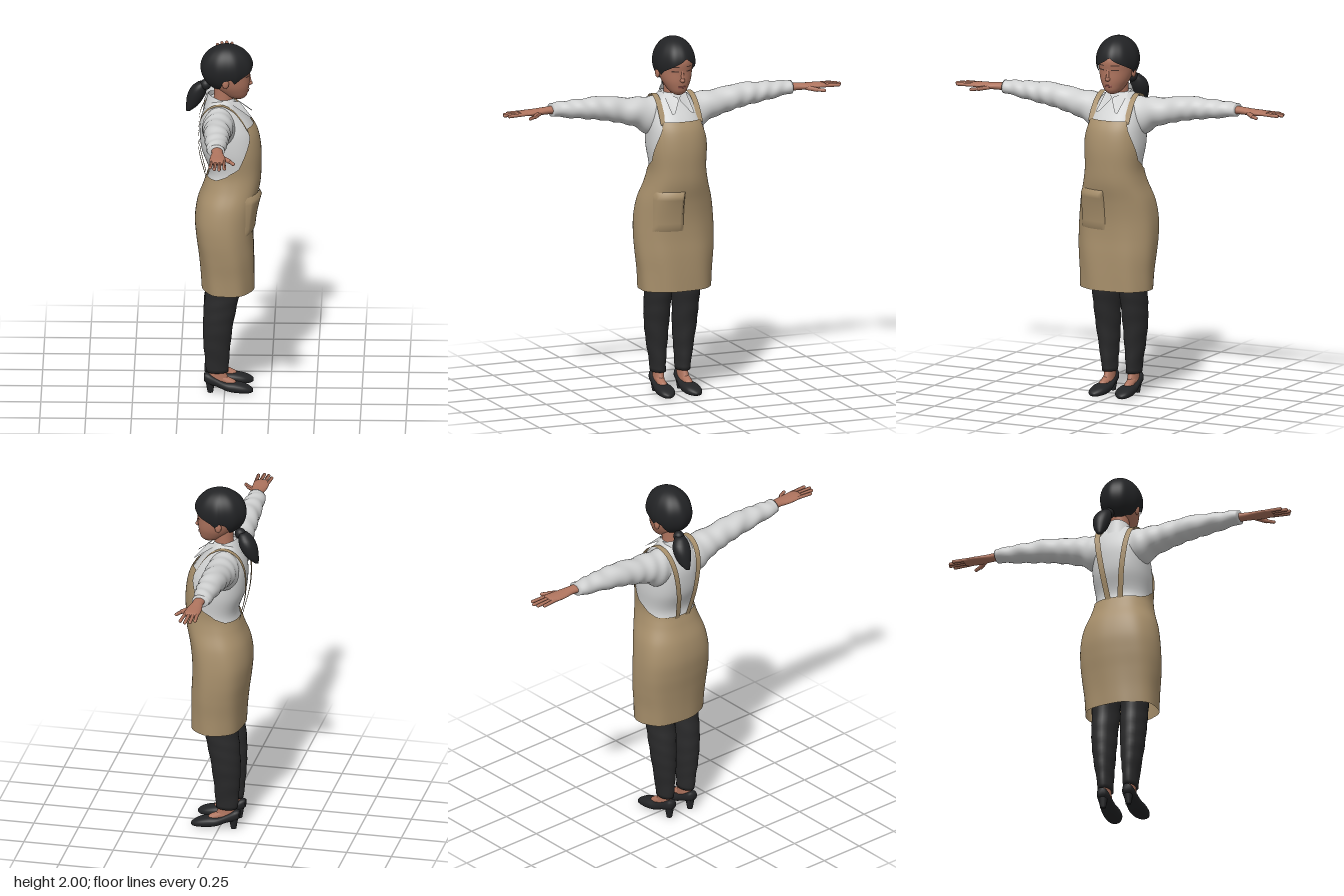
import * as THREE from 'three';

const mat = (name, color, side = THREE.FrontSide) => {
  const m = new THREE.MeshStandardMaterial({ color, side });
  m.name = name;
  return m;
};

// Smooth interpolation of a table whose first column is the parameter
function sample(rows, t) {
  let i = 0;
  while (i < rows.length - 2 && t > rows[i + 1][0]) i++;
  const a = rows[i], b = rows[i + 1], h = b[0] - a[0];
  const p = rows[i - 1] || a, n = rows[i + 2] || b;
  const s = Math.min(1, Math.max(0, (t - a[0]) / h)), s2 = s * s, s3 = s2 * s;
  return a.map((_, k) => {
    const ma = (b[k] - p[k]) / (b[0] - p[0]) * h, mb = (n[k] - a[k]) / (n[0] - a[0]) * h;
    return (2 * s3 - 3 * s2 + 1) * a[k] + (s3 - 2 * s2 + s) * ma + (3 * s2 - 2 * s3) * b[k] + (s3 - s2) * mb;
  });
}
function lerpTable(knots, t) {
  let i = 0;
  while (i < knots.length - 2 && t > knots[i + 1][0]) i++;
  const [a, b] = [knots[i], knots[i + 1]];
  return THREE.MathUtils.lerp(a[1], b[1], Math.min(1, Math.max(0, (t - a[0]) / (b[0] - a[0]))));
}

// Grid surface; fn(u, v) returns [x, y, z]; closed wraps around in u
function sheet(nu, nv, fn, closed) {
  const pos = [], idx = [], cols = closed ? nu : nu + 1;
  for (let j = 0; j <= nv; j++) for (let i = 0; i < cols; i++) pos.push(...fn(i / nu, j / nv, j));
  for (let j = 0; j < nv; j++) for (let i = 0; i < nu; i++) {
    const i2 = (i + 1) % cols, a = j * cols + i, b = j * cols + i2;
    idx.push(a, b, b + cols, a, b + cols, a + cols);
  }
  const g = new THREE.BufferGeometry();
  g.setAttribute('position', new THREE.Float32BufferAttribute(pos, 3));
  g.setIndex(idx);
  g.computeVertexNormals();
  return g;
}

const spow = (v, p) => Math.sign(v) * Math.pow(Math.abs(v), p);
// Ring point of a section row [t, cosMin, cosMax, sinMin, sinMax]; axis y maps cos to z and sin to x
function ring(rows, t, a, axis = 'y', p = 1, off = 0) {
  const [, c0, c1, s0, s1] = sample(rows, t);
  const c = (c0 + c1) / 2 + ((c1 - c0) / 2 + off) * spow(Math.cos(a), p);
  const s = (s0 + s1) / 2 + ((s1 - s0) / 2 + off) * spow(Math.sin(a), p);
  return axis === 'y' ? [s, t, c] : axis === 'x' ? [t, c, s] : [c, s, t];
}
// Capped loft through section rows
function loft(rows, { axis = 'y', p = 1, nu = 28, nv = 24, off = 0, ripple = 0 } = {}) {
  const t0 = rows[0][0], t1 = rows[rows.length - 1][0];
  return sheet(nu, nv + 2, (u, v, j) => {
    const t = t0 + (t1 - t0) * Math.min(1, Math.max(0, (j - 1) / nv)), a = u * Math.PI * 2;
    if (j === 0 || j === nv + 2) {
      const A = ring(rows, t, 0, axis, p), B = ring(rows, t, Math.PI, axis, p);
      return A.map((q, k) => (q + B[k]) / 2);
    }
    return ring(rows, t, a, axis, p, off + ripple * Math.sin(t * 62 + 2.2 * Math.sin(a + t * 9)));
  }, true);
}
// Patch lying on the front of a lofted shape, edges sunk by the relief
function patch(rows, p, x0, x1, y0, y1, off, relief = 0, lift = 0) {
  return sheet(14, 10, (u, v) => {
    const edge = u === 0 || u === 1 || v === 0 || v === 1;
    const x = x0 + (x1 - x0) * u, y = y0 + (y1 - y0) * v, [, z0, z1, , r] = sample(rows, y);
    const s = Math.pow(Math.min(1, Math.abs(x) / r), 1 / p), c = Math.pow(Math.sqrt(1 - s * s), p);
    return [x, y, (z0 + z1) / 2 + (z1 - z0) / 2 * c + off + (edge ? 0 : relief + lift * v)];
  });
}
// Rounded rod between two points
function rod(a, b, r) {
  const A = new THREE.Vector3(...a), B = new THREE.Vector3(...b), d = B.clone().sub(A);
  const g = new THREE.CapsuleGeometry(r, d.length(), 5, 10);
  g.applyQuaternion(new THREE.Quaternion().setFromUnitVectors(new THREE.Vector3(0, 1, 0), d.normalize()));
  return g.translate(...A.add(B).multiplyScalar(0.5).toArray());
}
const ball = (x, y, z, rx, ry, rz) => new THREE.SphereGeometry(1, 18, 12).scale(rx, ry, rz).translate(x, y, z);
function mirrored(g) {
  const m = g.clone().scale(-1, 1, 1), ix = m.index.array;
  for (let i = 0; i < ix.length; i += 3) [ix[i], ix[i + 1]] = [ix[i + 1], ix[i]];
  m.computeVertexNormals();
  return m;
}

const TORSO = [
  [0.6, -0.118, 0.157, -0.198, 0.198], [0.7, -0.125, 0.157, -0.203, 0.203], [0.8, -0.136, 0.155, -0.213, 0.213],
  [0.9, -0.15, 0.15, -0.218, 0.218], [1.0, -0.157, 0.152, -0.214, 0.214], [1.1, -0.143, 0.165, -0.198, 0.198],
  [1.2, -0.108, 0.187, -0.166, 0.166], [1.28, -0.09, 0.193, -0.152, 0.152], [1.4, -0.13, 0.193, -0.161, 0.161],
  [1.5, -0.141, 0.175, -0.158, 0.158], [1.56, -0.137, 0.142, -0.148, 0.148], [1.62, -0.118, 0.092, -0.13, 0.13],
  [1.66, -0.098, 0.06, -0.1, 0.1], [1.69, -0.085, 0.045, -0.066, 0.066]];
const HEAD = [
  [1.69, 0.05, 0.1, -0.022, 0.022], [1.705, 0.01, 0.118, -0.043, 0.043], [1.735, -0.03, 0.128, -0.063, 0.063],
  [1.77, -0.06, 0.134, -0.079, 0.079], [1.82, -0.09, 0.136, -0.09, 0.09], [1.88, -0.1, 0.142, -0.093, 0.093],
  [1.93, -0.08, 0.118, -0.075, 0.075], [1.96, -0.03, 0.07, -0.04, 0.04]];

export function createModel() {
  const DS = THREE.DoubleSide;
  const skin = mat('skin', 0xb0755f), hair = mat('hair', 0x222325, DS), shirt = mat('shirt', 0xd0d1d1, DS);
  const tan = mat('apron tan', 0xa78f6b, DS), pants = mat('trouser black', 0x2a2a2b), black = mat('shoe black', 0x242527);
  const lip = mat('lips', 0x9a5850), dark = mat('eye brown', 0x4a332c);

  const root = new THREE.Group(), person = new THREE.Group();
  root.name = 'womanInApron';
  person.name = 'person';
  person.rotation.y = Math.PI / 2; // she looks along +x
  root.add(person);
  const add = (name, g, m) => {
    const mesh = new THREE.Mesh(g, m);
    mesh.name = name;
    person.add(mesh);
  };
  const pair = (name, g, m) => {
    add(name + 'Left', g, m);
    add(name + 'Right', mirrored(g), m);
  };

  // Shirt body and sleeves
  add('shirtBody', loft(TORSO.slice(6), { p: 0.85, nu: 48, off: -0.003 }), shirt);
  pair('sleeve', loft([
    [0.07, 1.46, 1.662, -0.115, 0.05], [0.15, 1.46, 1.664, -0.12, 0.058], [0.22, 1.505, 1.666, -0.115, 0.05],
    [0.3, 1.53, 1.673, -0.108, 0.04], [0.4, 1.555, 1.688, -0.105, 0.034], [0.55, 1.58, 1.685, -0.096, 0.027],
    [0.71, 1.605, 1.678, -0.083, 0.01]], { axis: 'x', nv: 60, ripple: 0.0028 }), shirt);

  // Collar: band around the neck, and two pointed flaps
  add('collarBand', sheet(40, 6, (u, v) => {
    const a = u * Math.PI * 2, top = 1.695 - 0.025 * Math.cos(a), r = 0.085 - 0.022 * v;
    return [r * Math.sin(a), 1.635 + (top - 1.635) * v, -0.02 + (r + 0.008) * Math.cos(a)];
  }, true), shirt);
  pair('collarFlap', sheet(6, 6, (u, v) => {
    const x = 0.004 + u * 0.062, low = 1.655 - 0.06 * Math.min(1, u * 1.4);
    const y = low + (1.668 + 0.024 * u - low) * v;
    return [x, y, 0.062 + (1.67 - y) * 0.95 - 0.045 * u * v + 0.014];
  }), shirt);

  // Apron with a bib that falls away to a low back edge
  const edge = [[0, 1.55], [0.72, 1.55], [0.8, 1.5], [1.15, 1.4], [1.4, 1.33], [1.8, 1.28], [2.2, 1.255], [Math.PI, 1.25]];
  add('apron', sheet(112, 48, (u, v) => {
    const a = u * Math.PI * 2, top = lerpTable(edge, Math.min(a, Math.PI * 2 - a));
    const y = 0.6 + (top - 0.6) * v;
    return ring(TORSO, y, a, 'y', 0.85, 0.006 + 0.0025 * Math.sin(a * 7 + y * 6) * (1 - v));
  }, true), tan);
  add('apronPocket', patch(TORSO, 0.85, -0.168, -0.005, 0.94, 1.165, 0.008, 0.008, 0.014), tan);

  // Shoulder straps running to the middle of the back
  const path = new THREE.CatmullRomCurve3([
    [0.108, 1.535, 0.128], [0.108, 1.6, 0.088], [0.106, 1.65, 0.045], [0.103, 1.68, -0.02], [0.096, 1.655, -0.09],
    [0.085, 1.58, -0.135], [0.06, 1.42, -0.142], [0.035, 1.24, -0.103]].map(p => new THREE.Vector3(...p)));
  pair('strap', sheet(2, 40, (u, v) => {
    const p = path.getPoint(1 - v);
    return [p.x + (u - 0.5) * 0.032, p.y, p.z];
  }), tan);

  // Hands
  pair('palm', loft([
    [0.69, 1.62, 1.665, -0.06, 0.002], [0.75, 1.622, 1.662, -0.056, 0.006], [0.8, 1.622, 1.658, -0.064, 0.016],
    [0.86, 1.625, 1.656, -0.066, 0.022], [0.9, 1.63, 1.652, -0.062, 0.02]], { axis: 'x', nv: 12 }), skin);
  [[-0.054, -0.06, 0.955], [-0.033, -0.037, 0.982], [-0.01, -0.011, 0.991], [0.012, 0.018, 0.975]].forEach(([z0, z1, x], i) =>
    pair('finger' + (i + 1), rod([0.87, 1.641, z0], [x, 1.639, z1], 0.0095), skin));
  pair('thumb', rod([0.79, 1.636, 0], [0.835, 1.63, 0.042], 0.0125), skin);
  pair('thumbTip', rod([0.835, 1.63, 0.042], [0.87, 1.627, 0.064], 0.0095), skin);

  // Neck, head and face
  add('neck', loft([[1.61, -0.075, 0.045, -0.055, 0.055], [1.68, -0.06, 0.045, -0.05, 0.05],
    [1.78, -0.06, 0.05, -0.052, 0.052]], { nv: 8 }), skin);
  add('head', loft(HEAD, { p: 0.95, nu: 36, nv: 32 }), skin);
  add('nose', ball(0, 1.778, 0.134, 0.014, 0.013, 0.018), skin);
  add('noseBridge', rod([0, 1.785, 0.138], [0, 1.83, 0.13], 0.008), skin);
  pair('ear', ball(0.094, 1.805, 0.005, 0.012, 0.03, 0.019), skin);
  pair('eye', patch(HEAD, 0.95, 0.022, 0.058, 1.825, 1.832, 0.002), dark);
  pair('eyebrow', patch(HEAD, 0.95, 0.02, 0.062, 1.852, 1.857, 0.002), dark);
  add('lips', patch(HEAD, 0.95, -0.022, 0.022, 1.732, 1.744, 0.001, 0.003), lip);

  // Hair cap with side-swept fringe, and a low ponytail
  const line = [[0, 1.9], [0.25, 1.878], [0.7, 1.853], [1.15, 1.825], [1.4, 1.795], [1.5, 1.83], [1.75, 1.82], [2.1, 1.765], [Math.PI, 1.745]];
  add('hairCap', sheet(72, 24, (u, v) => {
    const a = u * Math.PI * 2, d = Math.abs(Math.atan2(Math.sin(a - 0.15), Math.cos(a - 0.15)));
    const phi = Math.acos((lerpTable(line, d) - 1.867) / 0.133) * (1 - v), s = Math.sin(phi);
    const w = 1 + 0.012 * Math.sin(a * 9) * s;
    return [0.113 * s * w * Math.sin(a), 1.867 + 0.133 * Math.cos(phi), 0.011 + 0.144 * s * w * Math.cos(a)];
  }, true), hair);
  add('hairTie', ball(0.03, 1.755, -0.105, 0.03, 0.03, 0.03), hair);
  add('ponytail', loft([
    [1.595, -0.212, -0.19, 0.035, 0.06], [1.63, -0.213, -0.145, 0.018, 0.085], [1.69, -0.205, -0.108, 0.002, 0.1],
    [1.735, -0.182, -0.1, 0.002, 0.09], [1.765, -0.15, -0.1, 0.015, 0.06]], { nv: 16 }), hair);

  // Trouser legs
  pair('trouserLeg', loft([
    [0.12, -0.1, 0.02, 0.034, 0.112], [0.2, -0.108, 0.025, 0.03, 0.122], [0.3, -0.116, 0.034, 0.022, 0.138],
    [0.4, -0.118, 0.047, 0.016, 0.15], [0.5, -0.114, 0.066, 0.012, 0.155], [0.6, -0.105, 0.085, 0.008, 0.157],
    [0.8, -0.11, 0.1, 0.004, 0.165]], { nv: 36, ripple: 0.0012 }), pants);

  // Feet in heeled pumps
  pair('ankle', loft([[0.05, -0.09, 0.04, 0.045, 0.105], [0.085, -0.09, 0.02, 0.045, 0.1],
    [0.14, -0.08, 0.0, 0.045, 0.098]], { nv: 8 }), skin);
  pair('instep', rod([0.074, 0.085, -0.03], [0.076, 0.052, 0.04], 0.025), skin);
  pair('shoe', loft([
    [-0.112, 0.055, 0.095, 0.065, 0.11], [-0.09, 0.042, 0.106, 0.05, 0.112], [-0.04, 0.037, 0.112, 0.034, 0.088],
    [0.01, 0.031, 0.119, 0.012, 0.066], [0.06, 0.027, 0.125, 0.002, 0.062], [0.11, 0.033, 0.124, 0.001, 0.05],
    [0.14, 0.052, 0.114, 0.002, 0.036], [0.155, 0.07, 0.098, 0.008, 0.024]], { axis: 'z', p: 0.85 }), black);
  pair('shoeHeel', new THREE.CylinderGeometry(0.028, 0.015, 0.075, 14).translate(0.074, 0.0375, -0.078), black);

  return root;
}
